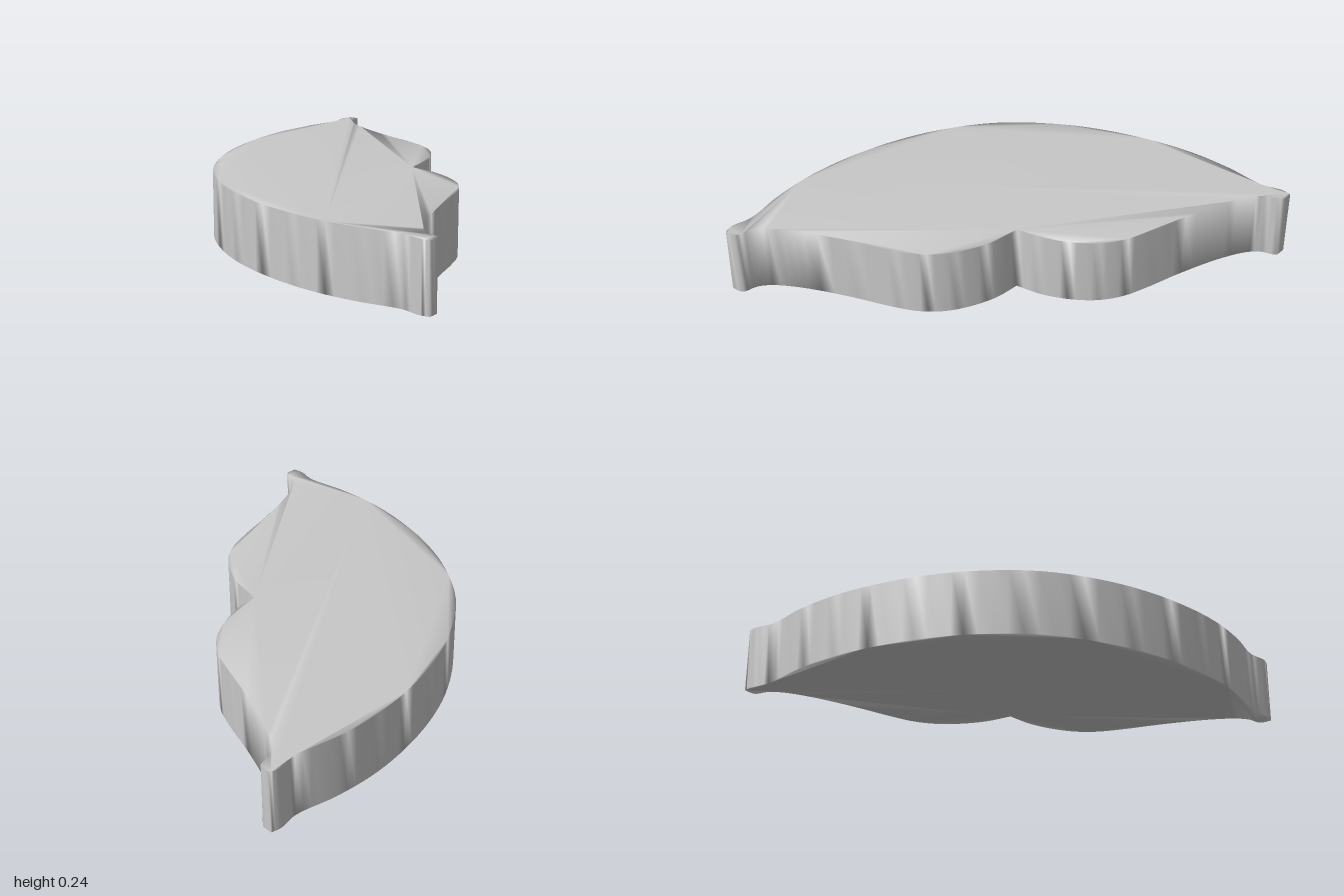
import * as THREE from 'three';
import { mergeVertices } from 'three/addons/utils/BufferGeometryUtils.js';

const HEIGHT = 0.243;

// Smooth points along a row of [x, z] pairs
function smooth(points, count) {
  const curve = new THREE.CatmullRomCurve3(points.map(([x, z]) => new THREE.Vector3(x, z, 0)), false, 'centripetal');
  return curve.getPoints(count).map((p) => new THREE.Vector2(p.x, p.y));
}

// Repeat a half profile (ending on z = 0) on the other side
function mirrored(half) {
  return [...half, ...half.slice(0, -1).reverse().map(([x, z]) => [x, -z])];
}

export function createModel() {
  const group = new THREE.Group();
  group.name = 'lipPlate';
  const grey = new THREE.MeshStandardMaterial({ color: 0xc8c8c8 });
  grey.name = 'light grey';

  // Long bowed edge, from tip to tip
  const bow = smooth(mirrored([
    [0.2, 1], [0.17, 0.98], [0.125, 0.915], [0, 0.825], [-0.12, 0.715], [-0.22, 0.59],
    [-0.32, 0.42], [-0.39, 0.235], [-0.425, 0],
  ]), 72);

  // One lobe of the double edge, from the tip to the sharp notch in the middle
  const lobe = smooth([
    [0.2, 1], [0.228, 0.965], [0.203, 0.915], [0.2, 0.86], [0.23, 0.75], [0.3, 0.59],
    [0.37, 0.455], [0.41, 0.36], [0.422, 0.27], [0.405, 0.175], [0.365, 0.08], [0.305, 0],
  ], 40);
  const otherLobe = lobe.slice(0, -1).reverse().map((p) => new THREE.Vector2(p.x, -p.y));
  const doubleEdge = [...lobe, ...otherLobe].reverse();

  const outline = new THREE.Shape([...bow, ...doubleEdge.slice(1, -1)]);
  let geometry = new THREE.ExtrudeGeometry(outline, { depth: HEIGHT, bevelEnabled: false, steps: 1 });
  geometry.rotateX(-Math.PI / 2);

  // Shared corners give the soft shading from the top down the walls
  geometry.deleteAttribute('normal');
  geometry.deleteAttribute('uv');
  geometry.clearGroups();
  geometry = mergeVertices(geometry, 1e-4);
  geometry.computeVertexNormals();

  const plate = new THREE.Mesh(geometry, grey);
  plate.name = 'plate';
  group.add(plate);
  return group;
}
